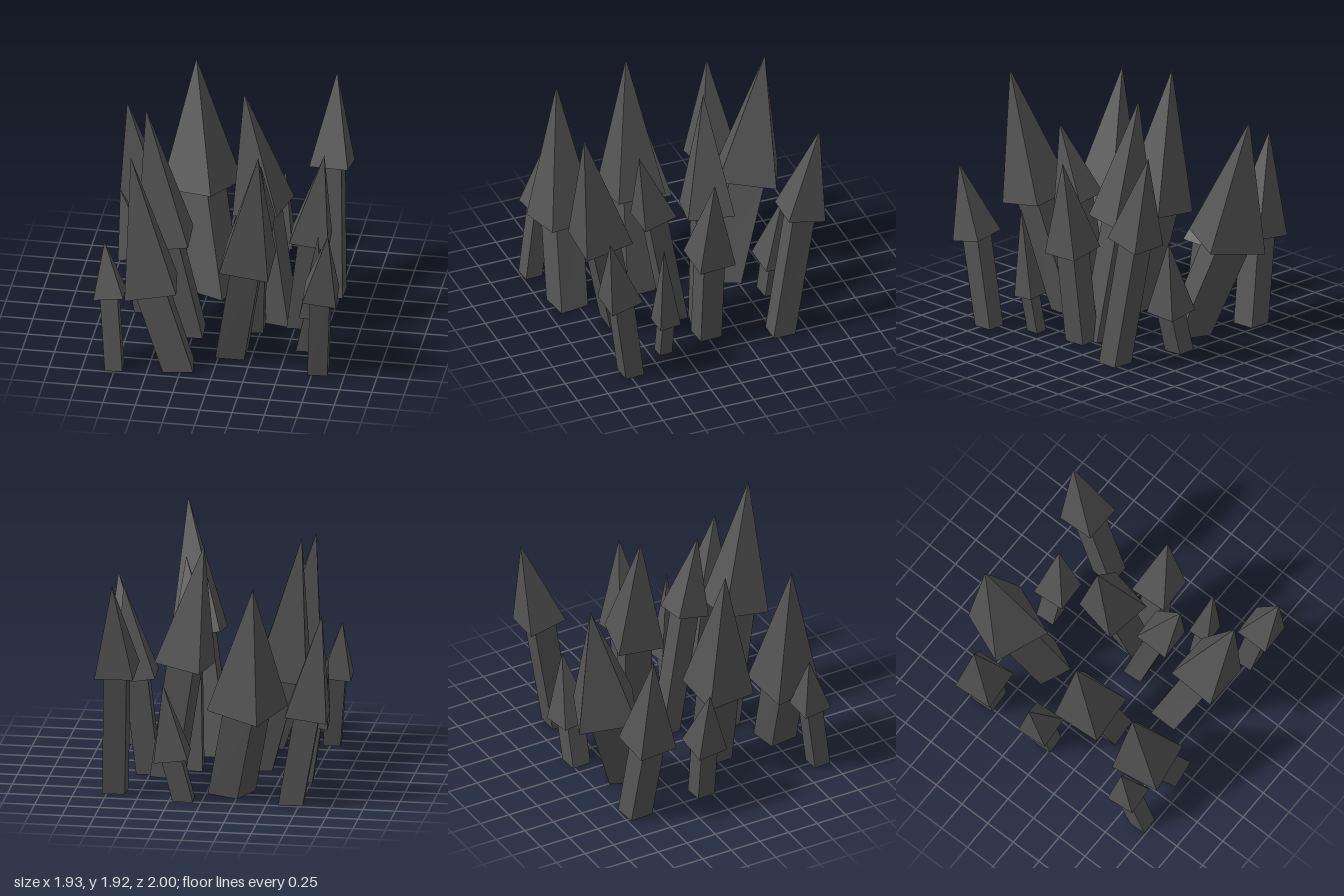
import * as THREE from 'three';

const SHAFT_RATIO = 0.59; // shaft width relative to its head
const material = new THREE.MeshStandardMaterial({ color: 0x555555 });
material.flatShading = true;

// Four corners of a square about c, turned by yaw and tilted to face along axis
function ring(c, axis, side, yaw) {
  const cos = Math.cos(yaw), sin = Math.sin(yaw), h = side / 2;
  return [[-h, -h], [h, -h], [h, h], [-h, h]].map(([u, v]) => {
    const dx = u * cos - v * sin, dz = u * sin + v * cos;
    const dy = -(axis.x * dx + axis.z * dz) / axis.y;
    return new THREE.Vector3(c.x + dx, c.y + dy, c.z + dz);
  });
}

// Four-sided solid from ring a up to ring b, closed at the bottom
function loft(name, a, b) {
  const points = [a[0], a[1], a[2], a[0], a[2], a[3]];
  for (let i = 0; i < 4; i++) {
    const j = (i + 1) % 4;
    points.push(a[j], a[i], b[i], a[j], b[i], b[j]);
  }
  const geometry = new THREE.BufferGeometry().setFromPoints(points);
  geometry.computeVertexNormals();
  const mesh = new THREE.Mesh(geometry, material);
  mesh.name = name;
  return mesh;
}

// One leaning spike: square shaft with a pyramid head
function spike([footX, footZ, neckX, neckY, neckZ, width, tipX, tipY, tipZ, yaw = -0.06]) {
  const foot = new THREE.Vector3(footX, 0, footZ);
  const neck = new THREE.Vector3(neckX, neckY, neckZ);
  const tip = new THREE.Vector3(tipX, tipY, tipZ);
  const axis = tip.clone().sub(neck);
  const up = new THREE.Vector3(0, 1, 0);
  const shaftWidth = width * SHAFT_RATIO;
  const group = new THREE.Group();
  group.name = 'spike';
  group.add(
    loft('shaft', ring(foot, up, shaftWidth, yaw), ring(neck, axis, shaftWidth, yaw)),
    loft('spearHead', ring(neck, axis, width, yaw), [tip, tip, tip, tip])
  );
  return group;
}

// foot x z, neck x y z, head width, tip x y z, yaw where it differs
const spikes = [
  // back row
  [-0.68, -0.635, -0.795, 0.69, -0.59, 0.32, -0.91, 1.49, -0.6],
  [-0.19, -0.45, -0.35, 0.76, -0.71, 0.45, -0.42, 1.76, -0.88, 0.41],
  [0.145, -0.69, 0.235, 0.34, -0.69, 0.262, 0.3, 0.92, -0.73],
  [0.695, -0.55, 0.655, 1.02, -0.73, 0.3, 0.67, 1.735, -0.885, 0.02],
  // middle rows
  [-0.685, -0.06, -0.755, 0.48, -0.07, 0.25, -0.88, 1, -0.09],
  [-0.29, 0.245, -0.485, 0.76, 0.2, 0.395, -0.635, 1.86, 0.18],
  [0.365, -0.06, 0.22, 0.925, -0.14, 0.365, 0.067, 1.875, -0.17, 0.2],
  [0.52, -0.01, 0.61, 0.755, 0, 0.3, 0.717, 1.48, 0],
  [0.195, 0.12, 0.24, 1, 0.31, 0.265, 0.3, 1.59, 0.455],
  [0.615, 0.385, 0.68, 0.31, 0.39, 0.173, 0.74, 1.01, 0.43],
  // front row
  [-0.757, 0.92, -0.81, 0.58, 0.825, 0.23, -0.855, 1.015, 0.79],
  [-0.28, 0.81, -0.5, 0.635, 0.765, 0.395, -0.66, 1.735, 0.745, -0.14],
  [0.09, 0.535, 0.245, 0.905, 0.75, 0.38, 0.36, 1.92, 0.935, 0],
  [0.79, 0.725, 0.825, 0.715, 0.825, 0.26, 0.9, 1.29, 0.94],
];

export function createModel() {
  const model = new THREE.Group();
  model.name = 'spikeField';
  for (const s of spikes) model.add(spike(s));
  return model;
}
